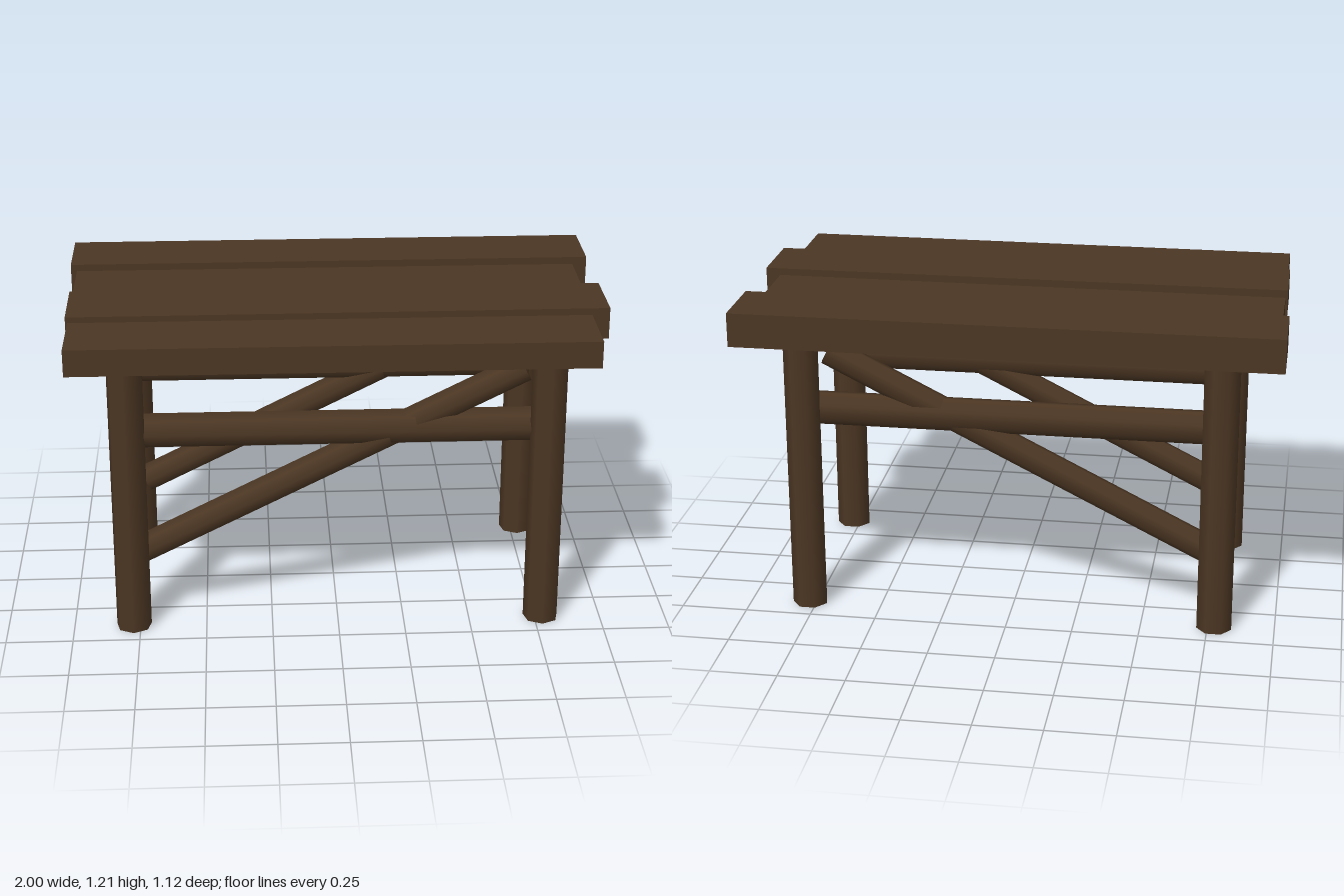
import * as THREE from 'three';

const wood = new THREE.MeshStandardMaterial({ color: 0x4b3623 });
wood.name = 'dark brown wood';

// Seven-sided pole running between two points in a plane of constant z
function pole(name, x0, y0, x1, y1, z, radius) {
  const dx = x1 - x0, dy = y1 - y0;
  const mesh = new THREE.Mesh(
    new THREE.CylinderGeometry(radius, radius, Math.hypot(dx, dy), 7), wood);
  mesh.name = name;
  mesh.position.set((x0 + x1) / 2, (y0 + y1) / 2, z);
  mesh.rotation.z = Math.atan2(dy, dx) - Math.PI / 2;
  return mesh;
}

// Tabletop board given by its extents and a slight skew
function plank(name, [x0, x1], [y0, y1], [z0, z1], skew) {
  const mesh = new THREE.Mesh(
    new THREE.BoxGeometry(x1 - x0, y1 - y0, z1 - z0), wood);
  mesh.name = name;
  mesh.position.set((x0 + x1) / 2, (y0 + y1) / 2, (z0 + z1) / 2);
  mesh.rotation.y = skew;
  return mesh;
}

export function createModel() {
  const table = new THREE.Group();
  table.name = 'rusticTable';

  // Uneven tabletop boards, back to front
  table.add(
    plank('backPlank', [-1, 1], [1.083, 1.21], [-0.56, -0.293], 0),
    plank('middleBackPlank', [-0.977, 0.943], [1.097, 1.188], [-0.28, -0.012], -0.003),
    plank('middleFrontPlank', [-0.985, 1], [1.09, 1.21], [0.004, 0.274], 0.002),
    plank('frontPlank', [-0.977, 0.932], [1.09, 1.191], [0.286, 0.553], -0.003));

  // Each long side: two legs, a level rail and a diagonal brace
  for (const [end, side] of [['front', 1], ['back', -1]]) {
    table.add(
      pole(end + 'RightLeg', -0.775, 0, -0.775, 1.1, 0.383 * side, 0.067),
      pole(end + 'LeftLeg', 0.775, 0, 0.775, 1.1, 0.383 * side, 0.067),
      pole(end + 'Rail', -0.795, 0.777, 0.79, 0.777, 0.318 * side, 0.064),
      pole(end + 'Brace', -0.74, 0.287, 0.69, 1.002, 0.316 * side, 0.054));
  }
  return table;
}
